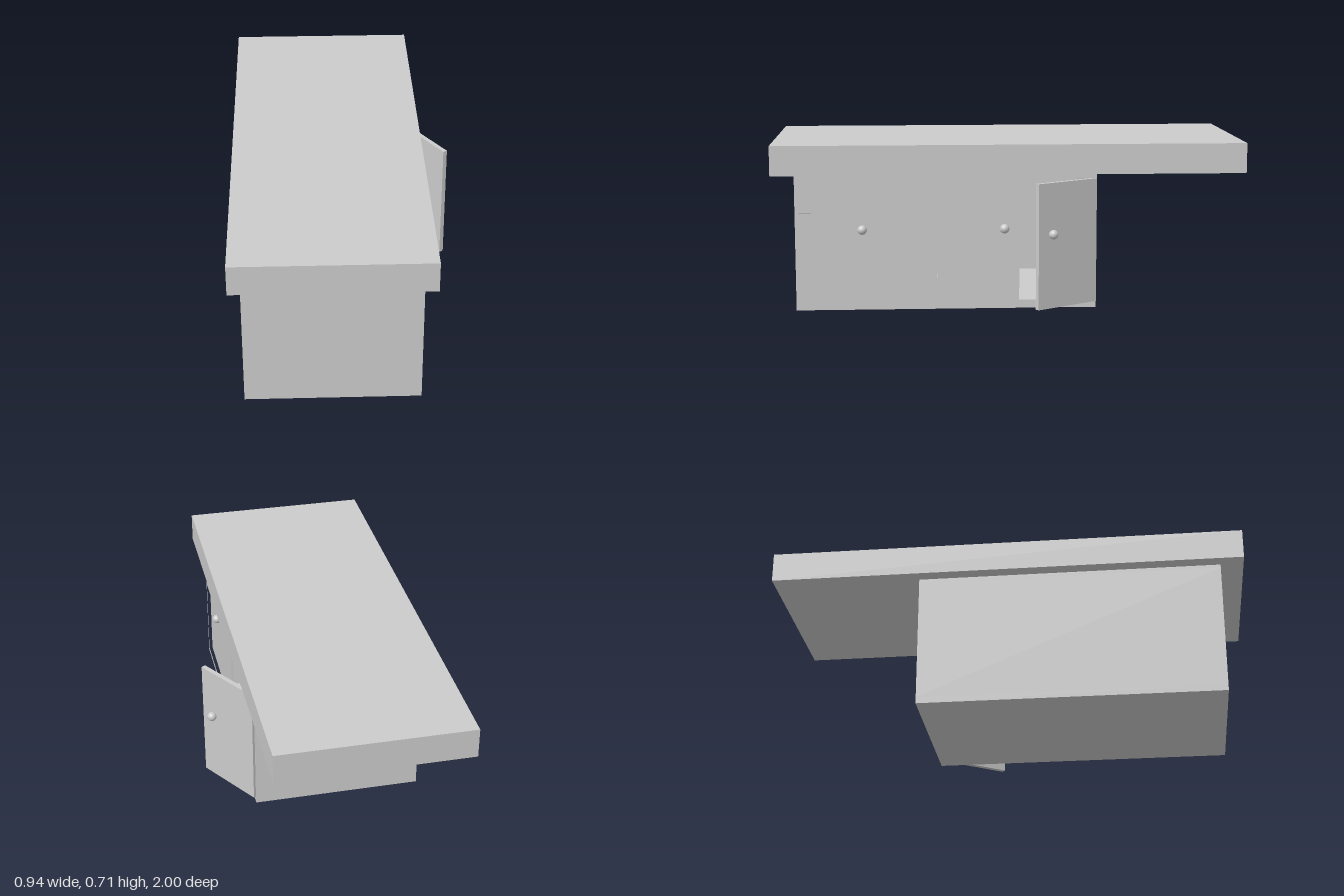
import * as THREE from 'three';

const material = new THREE.MeshStandardMaterial({ color: 0xcccccc });

// Cabinet extents; its doors face +x
const X0 = -0.425, X1 = 0.29, TOP = 0.574, Z0 = -0.37, Z1 = 0.904;
const FRAME = 0.035, PANEL_FACE = 0.275, THICK = 0.02;

function add(parent, name, geometry, x = 0, y = 0, z = 0) {
  const mesh = new THREE.Mesh(geometry, material);
  mesh.name = name;
  mesh.position.set(x, y, z);
  parent.add(mesh);
  return mesh;
}

// Box given by its lower and upper corners
function block(parent, name, [ax, ay, az], [bx, by, bz]) {
  return add(parent, name, new THREE.BoxGeometry(bx - ax, by - ay, bz - az),
    (ax + bx) / 2, (ay + by) / 2, (az + bz) / 2);
}

// Ball knob with its centre just outside a face at x
function knob(parent, name, x, y, z) {
  add(parent, name, new THREE.SphereGeometry(0.02, 24, 16), x + 0.012, y, z);
}

function rectangle(path, z0, y0, z1, y1) {
  path.moveTo(-z0, y0);
  path.lineTo(-z1, y0);
  path.lineTo(-z1, y1);
  path.lineTo(-z0, y1);
  path.closePath();
  return path;
}

export function createModel() {
  const island = new THREE.Group();
  island.name = 'kitchenIsland';

  block(island, 'countertop', [-0.471, 0.58, -1], [0.335, 0.707, 1]);

  // Hollow carcass
  const cabinet = new THREE.Group();
  cabinet.name = 'cabinet';
  island.add(cabinet);
  const inner = X1 - FRAME;
  block(cabinet, 'floor', [X0, 0, Z0], [inner, 0.028, Z1]);
  block(cabinet, 'ceiling', [X0, 0.56, Z0], [inner, TOP, Z1]);
  block(cabinet, 'backPanel', [X0, 0.028, Z0], [X0 + 0.015, 0.56, Z1]);
  block(cabinet, 'rearWall', [X0 + 0.015, 0.028, Z0], [inner, 0.56, Z0 + 0.011]);
  block(cabinet, 'frontWall', [X0 + 0.015, 0.028, Z1 - 0.014], [inner, 0.56, Z1]);
  block(cabinet, 'divider', [X0 + 0.015, 0.028, -0.042], [inner, 0.56, -0.022]);

  // Openings: z0, y0, z1, y1
  const openings = {
    drawer: [0.305, 0.415, 0.89, 0.565],
    wideDoor: [0.305, 0.02, 0.89, 0.38],
    narrowDoor: [-0.022, 0.028, 0.23, 0.557],
    openDoorway: [-0.359, 0.028, -0.042, 0.56],
  };

  // Face frame with a hole for every opening
  const outline = rectangle(new THREE.Shape(), Z0, 0, Z1, TOP);
  for (const o of Object.values(openings)) outline.holes.push(rectangle(new THREE.Path(), ...o));
  const frame = new THREE.ExtrudeGeometry(outline, { depth: FRAME, bevelEnabled: false });
  frame.rotateY(Math.PI / 2);
  add(cabinet, 'faceFrame', frame, inner, 0, 0);

  // Closed fronts, set back in the frame
  for (const name of ['drawer', 'wideDoor', 'narrowDoor']) {
    const [z0, y0, z1, y1] = openings[name];
    block(island, name, [PANEL_FACE - THICK, y0, z0], [PANEL_FACE, y1, z1]);
  }
  knob(island, 'wideDoorKnob', PANEL_FACE, 0.343, 0.622);
  knob(island, 'narrowDoorKnob', PANEL_FACE, 0.343, 0.02);

  // Door swung open about its rear edge
  const openDoor = new THREE.Group();
  openDoor.name = 'openDoor';
  openDoor.position.set(0.283, 0, -0.359);
  openDoor.rotation.y = 0.575;
  block(openDoor, 'openDoorPanel', [0, 0.028, 0], [THICK, 0.558, 0.308]);
  knob(openDoor, 'openDoorKnob', THICK, 0.343, 0.24);
  island.add(openDoor);

  return island;
}
